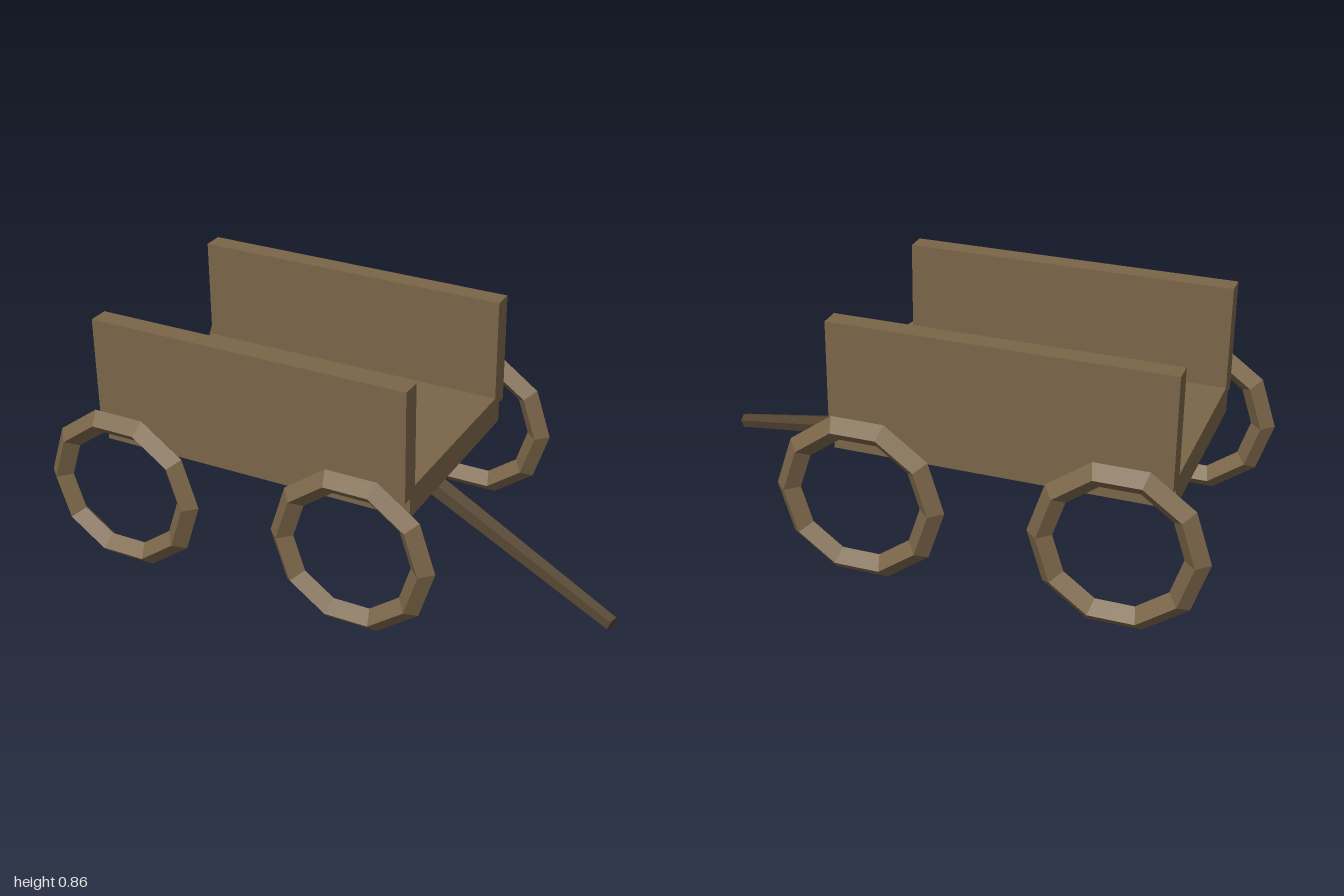
import * as THREE from 'three';

export function createModel() {
  const cart = new THREE.Group();
  cart.name = 'cart';

  const wood = new THREE.MeshStandardMaterial({ color: 0x7a6548 });
  wood.name = 'wood';
  wood.flatShading = true;
  const darkWood = new THREE.MeshStandardMaterial({ color: 0x52432f });
  darkWood.name = 'dark wood';
  darkWood.flatShading = true;

  const add = (name, geometry, material, x, y, z) => {
    const mesh = new THREE.Mesh(geometry, material);
    mesh.name = name;
    mesh.position.set(x, y, z);
    cart.add(mesh);
    return mesh;
  };

  // Bed and the two long side boards
  const length = 1.172;
  const midX = -0.259;
  add('bed', new THREE.BoxGeometry(length, 0.106, 0.736), wood, midX, 0.435, 0);
  for (const [name, side] of [['frontBoard', 1], ['backBoard', -1]]) {
    add(name, new THREE.BoxGeometry(length, 0.403, 0.073), wood, midX, 0.6565, side * 0.3675);
  }

  // Four ten-sided wheel rims with a diamond section
  const rim = new THREE.TorusGeometry(0.257, 0.043, 4, 10);
  for (const x of [-0.7, 0.18]) {
    for (const z of [-0.497, 0.497]) {
      add('wheel', rim, wood, x, 0.286, z);
    }
  }

  // Tapered six-sided draw pole
  const start = new THREE.Vector3(0.253, 0.291, 0);
  const end = new THREE.Vector3(0.988, 0.084, 0.221);
  const axis = end.clone().sub(start);
  const middle = start.clone().add(end).multiplyScalar(0.5);
  const pole = add('drawPole', new THREE.CylinderGeometry(0.028, 0.041, axis.length(), 6),
    darkWood, middle.x, middle.y, middle.z);
  pole.quaternion.setFromUnitVectors(new THREE.Vector3(0, 1, 0), axis.normalize());

  return cart;
}
